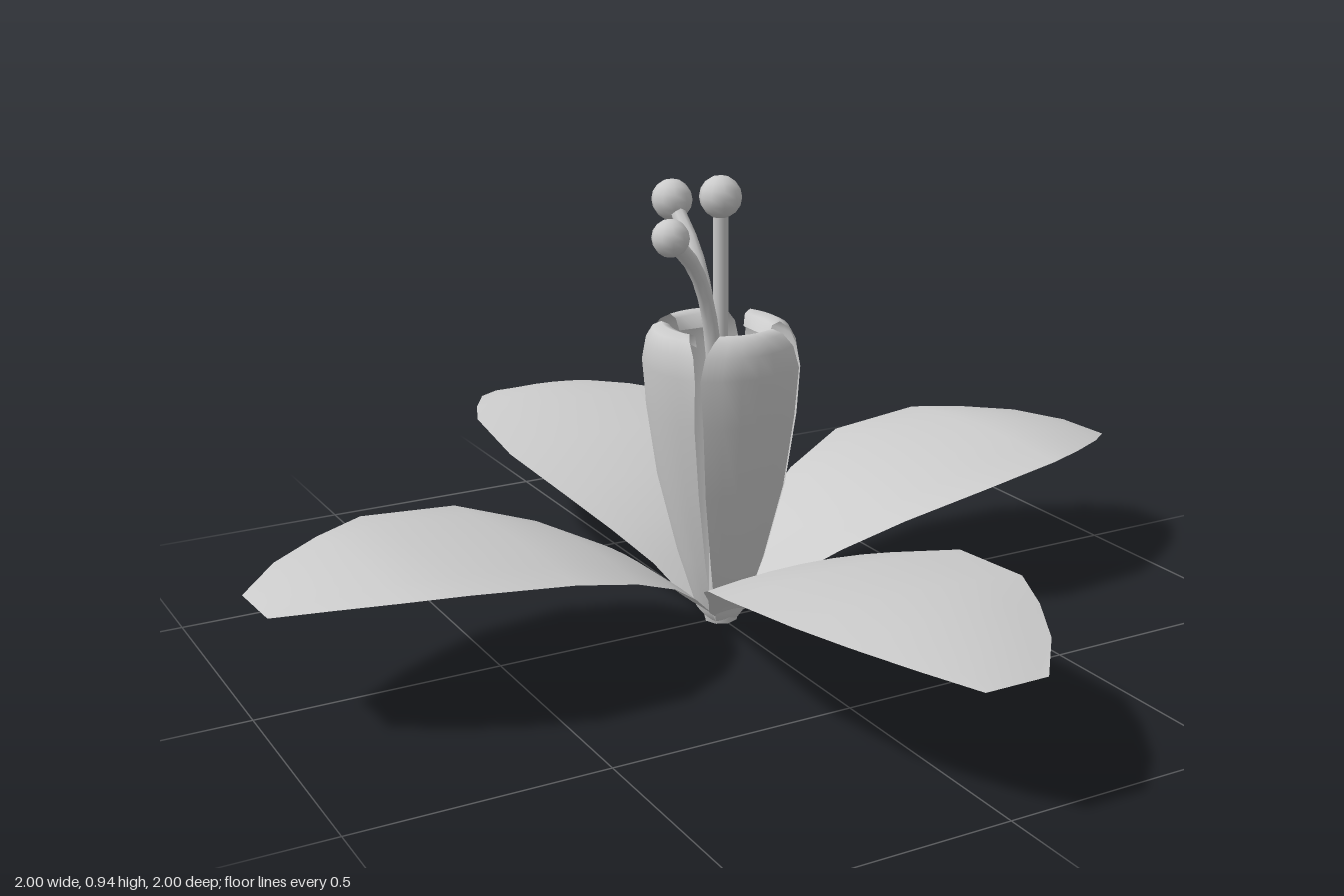
import * as THREE from 'three';

const material = new THREE.MeshStandardMaterial({ color: 0xcccccc });
const petalMaterial = new THREE.MeshStandardMaterial({ color: 0xcccccc, side: THREE.DoubleSide });

// Petal pointing to +z. Each row: [distance, height, half width, edge shift out, edge shift up]
function petalGeometry(rows, across = 6) {
  const positions = [], index = [], w = across + 1;
  rows.forEach(([r, y, half, dr, dy], i) => {
    for (let j = 0; j < w; j++) {
      const u = (j / across) * 2 - 1;
      positions.push(u * half, y + u * u * dy, r + u * u * dr);
      if (i < rows.length - 1 && j < across) {
        const a = i * w + j;
        index.push(a, a + w, a + 1, a + 1, a + w, a + w + 1);
      }
    }
  });
  const geometry = new THREE.BufferGeometry();
  geometry.setAttribute('position', new THREE.Float32BufferAttribute(positions, 3));
  geometry.setIndex(index);
  geometry.computeVertexNormals();
  return geometry;
}

const outerRows = [
  [0.03, 0.02, 0.03, 0, 0],
  [0.06, 0.045, 0.06, 0, 0],
  [0.12, 0.105, 0.095, 0, -0.005],
  [0.2, 0.168, 0.15, 0, -0.01],
  [0.32, 0.23, 0.208, 0, -0.015],
  [0.48, 0.28, 0.258, 0, -0.015],
  [0.69, 0.305, 0.245, 0, -0.018],
  [0.8, 0.299, 0.2, 0, -0.018],
  [0.91, 0.28, 0.14, 0, -0.01],
  [1.0, 0.25, 0.065, 0, 0],
];

const innerRows = [
  [0.03, 0.005, 0.025, -0.005, 0],
  [0.05, 0.03, 0.035, -0.01, 0],
  [0.085, 0.15, 0.062, -0.015, 0],
  [0.122, 0.31, 0.09, -0.022, 0],
  [0.145, 0.46, 0.104, -0.028, 0],
  [0.155, 0.56, 0.112, -0.035, 0],
  [0.152, 0.605, 0.1, -0.035, 0],
  [0.138, 0.632, 0.078, -0.025, 0],
  [0.118, 0.642, 0.06, -0.015, 0],
  [0.098, 0.635, 0.055, -0.01, 0],
  [0.082, 0.61, 0.05, 0, 0],
];

// Stamens: path points from the base to the ball, and ball radius
const stamens = [
  { path: [[0, 0.01, 0], [0, 0.45, 0], [0, 0.895, 0]], ball: 0.043 },
  { path: [[-0.015, 0.01, 0.01], [-0.018, 0.45, 0.012], [-0.035, 0.64, 0.023], [-0.085, 0.765, 0.055], [-0.17, 0.85, 0.11]], ball: 0.037 },
  { path: [[0, 0.01, -0.015], [0, 0.45, -0.02], [0, 0.63, -0.045], [0, 0.76, -0.105], [0, 0.855, -0.205]], ball: 0.043 },
];

export function createModel() {
  const flower = new THREE.Group();
  flower.name = 'flower';
  const add = (name, geometry, mat = material) => {
    const mesh = new THREE.Mesh(geometry, mat);
    mesh.name = name;
    flower.add(mesh);
    return mesh;
  };

  // Four spreading petals, the side pair turned slightly
  const outer = petalGeometry(outerRows);
  [0, 93.5, 180.5, 273.5].forEach((angle) => {
    add('outerPetal', outer, petalMaterial).rotation.y = THREE.MathUtils.degToRad(angle);
  });

  // Four upright petals with tips curled inward
  const inner = petalGeometry(innerRows);
  for (let i = 0; i < 4; i++) {
    add('innerPetal', inner, petalMaterial).rotation.y = (i * Math.PI) / 2;
  }

  // Stamens with round tips
  stamens.forEach(({ path, ball }) => {
    const points = path.map((p) => new THREE.Vector3(...p));
    const curve = new THREE.CatmullRomCurve3(points);
    add('stamenStalk', new THREE.TubeGeometry(curve, 18, 0.016, 8));
    add('stamenTip', new THREE.SphereGeometry(ball, 10, 8)).position.copy(points[points.length - 1]);
  });

  // Small base joining everything
  add('base', new THREE.CylinderGeometry(0.04, 0.035, 0.025, 8)).position.y = 0.0125;

  return flower;
}
